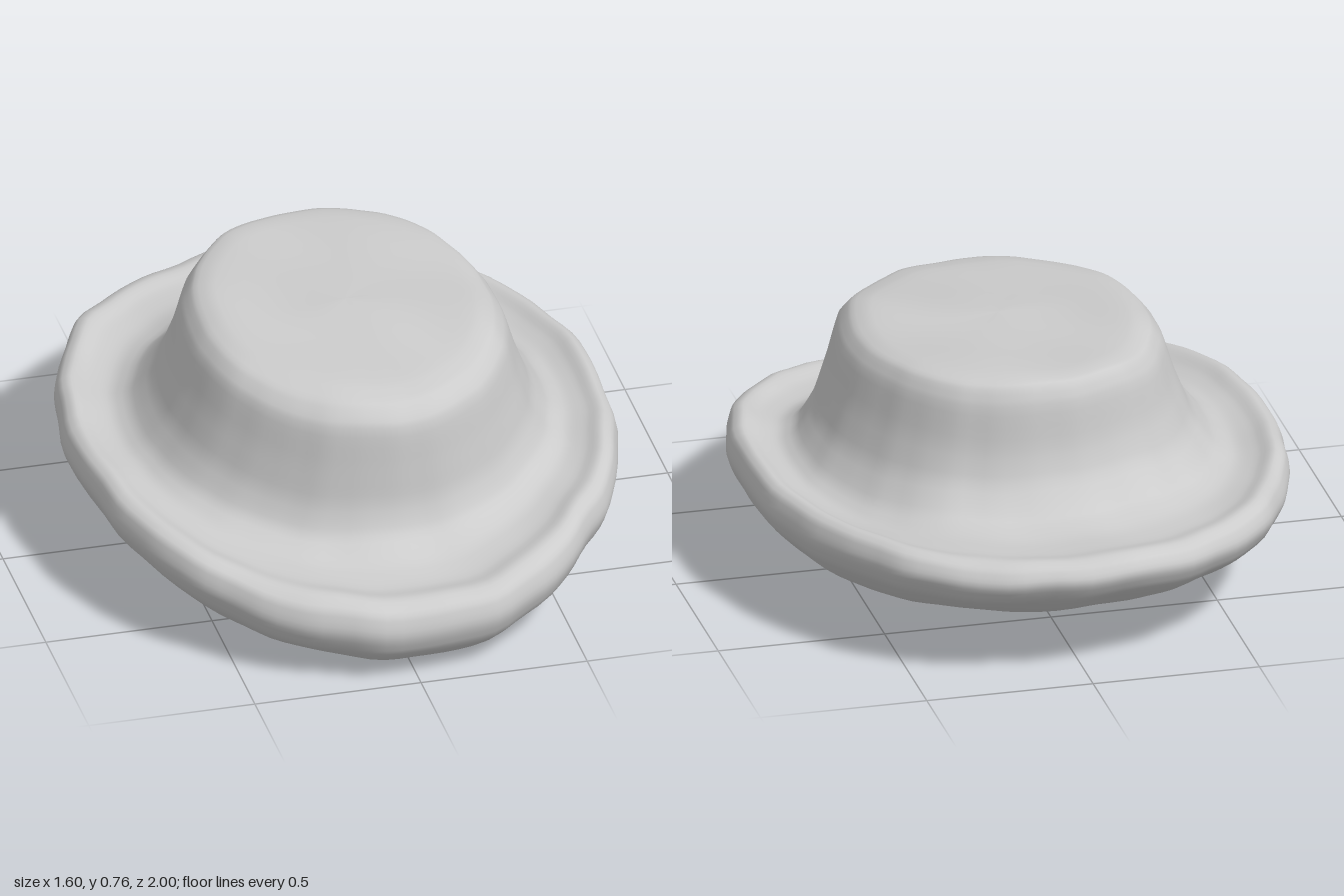
import * as THREE from 'three';

// Cross-section of the hat from crown centre, over the rim, to the inside ceiling:
// [half width, front z, back z, side y, front y, back y]
const RINGS = [
  [0, 0.03, 0.03, 0.742, 0.742, 0.742],
  [0.2, 0.26, -0.2, 0.741, 0.727, 0.75],
  [0.365, 0.47, -0.42, 0.745, 0.708, 0.754],
  [0.425, 0.56, -0.5, 0.728, 0.685, 0.745],
  [0.463, 0.607, -0.53, 0.68, 0.63, 0.69],
  [0.5, 0.618, -0.547, 0.565, 0.5, 0.56],
  [0.545, 0.627, -0.578, 0.45, 0.39, 0.47],
  [0.605, 0.66, -0.66, 0.372, 0.305, 0.388], // crown foot
  [0.66, 0.75, -0.77, 0.352, 0.255, 0.362],
  [0.71, 0.85, -0.87, 0.364, 0.24, 0.362],
  [0.752, 0.93, -0.935, 0.385, 0.25, 0.372],
  [0.785, 0.985, -0.98, 0.368, 0.22, 0.358],
  [0.8, 1, -1, 0.31, 0.16, 0.32], // outer rim
  [0.78, 0.975, -0.97, 0.25, 0.09, 0.26],
  [0.72, 0.9, -0.87, 0.185, 0.03, 0.19],
  [0.65, 0.8, -0.74, 0.14, 0.003, 0.135],
  [0.59, 0.705, -0.66, 0.17, 0.07, 0.18], // opening
  [0.555, 0.65, -0.61, 0.25, 0.17, 0.26],
  [0.52, 0.61, -0.565, 0.36, 0.27, 0.37],
  [0.485, 0.575, -0.53, 0.46, 0.35, 0.47],
  [0.435, 0.53, -0.48, 0.525, 0.4, 0.53],
  [0.36, 0.45, -0.4, 0.55, 0.44, 0.555],
  [0.2, 0.26, -0.2, 0.555, 0.51, 0.56],
  [0, 0.03, 0.03, 0.55, 0.55, 0.55],
];
const STEPS = 4;
const SEGMENTS = 112;

export function createModel() {
  const group = new THREE.Group();
  group.name = 'hat';

  const last = RINGS.length - 1;
  const curve = (k) => new THREE.CatmullRomCurve3(
    RINGS.map((r) => new THREE.Vector3(r[k], r[k + 1], r[k + 2])));
  const plan = curve(0);
  const heights = curve(3);

  // Sweep the section around the egg-shaped outline
  const positions = [];
  for (let i = 0; i <= last * STEPS; i++) {
    const t = i / (last * STEPS);
    const p = plan.getPoint(t);
    const h = heights.getPoint(t);
    const spread = Math.min(1, Math.abs(p.x) / 0.8);
    const shift = 0.025 * (1 - spread ** 2);
    const mid = (p.y + p.z) / 2;
    const half = (p.y - p.z) / 2;
    for (let j = 0; j < SEGMENTS; j++) {
      const a = (j / SEGMENTS) * Math.PI * 2;
      const c = Math.cos(a);
      const s = Math.sin(a);

      // Squarer behind, rounder in front
      const power = 0.94 + 0.1 * s * (1 - spread);
      const ex = Math.sign(c) * Math.abs(c) ** power;
      const ez = Math.sign(s) * Math.abs(s) ** power;

      // Hand-shaped waviness, strongest at the rim
      const wave = Math.sin(5 * a + 1) + 0.8 * Math.sin(9 * a + 2.3 + 3 * t)
        + 0.7 * Math.sin(17 * a + 0.7 - 5 * t) + 0.4 * Math.sin(29 * a + 4 * t);
      const swell = 1 + 0.005 * spread * wave;
      const x = shift + p.x * ex * swell;
      const z = mid + half * ez * swell;

      // Soft lumps in the surface
      const lumps = 0.003 * (Math.sin(11 * x + 4 * z) + Math.sin(13 * z - 6 * x + 1)
        + Math.sin(21 * x - 9 * z + 2));
      const dip = Math.abs(s) ** 2.2;
      const y = h.x + ((s > 0 ? h.y : h.z) - h.x) * dip + lumps;
      positions.push(x, y, z);
    }
  }

  // Faces between two section points; seams share vertices so shading stays smooth
  const faces = (from, to) => {
    const index = [];
    for (let i = from * STEPS; i < to * STEPS; i++) {
      for (let j = 0; j < SEGMENTS; j++) {
        const k = (j + 1) % SEGMENTS;
        const a = i * SEGMENTS + j;
        const b = i * SEGMENTS + k;
        const d = a + SEGMENTS;
        const e = b + SEGMENTS;
        index.push(a, e, d, a, b, e);
      }
    }
    return index;
  };

  const whole = new THREE.BufferGeometry();
  whole.setAttribute('position', new THREE.Float32BufferAttribute(positions, 3));
  whole.setIndex(faces(0, last));

  // Stand on the ground, centred
  whole.computeBoundingBox();
  const box = whole.boundingBox;
  const centre = box.getCenter(new THREE.Vector3());
  whole.translate(-centre.x, -box.min.y, -centre.z);
  whole.computeVertexNormals();

  const material = new THREE.MeshStandardMaterial({ color: 0xcccccc });
  for (const [name, from, to] of [['crown', 0, 7], ['brim', 7, 16], ['innerLining', 16, last]]) {
    const geometry = new THREE.BufferGeometry();
    geometry.setAttribute('position', whole.getAttribute('position'));
    geometry.setAttribute('normal', whole.getAttribute('normal'));
    geometry.setIndex(faces(from, to));
    const mesh = new THREE.Mesh(geometry, material);
    mesh.name = name;
    group.add(mesh);
  }
  return group;
}
